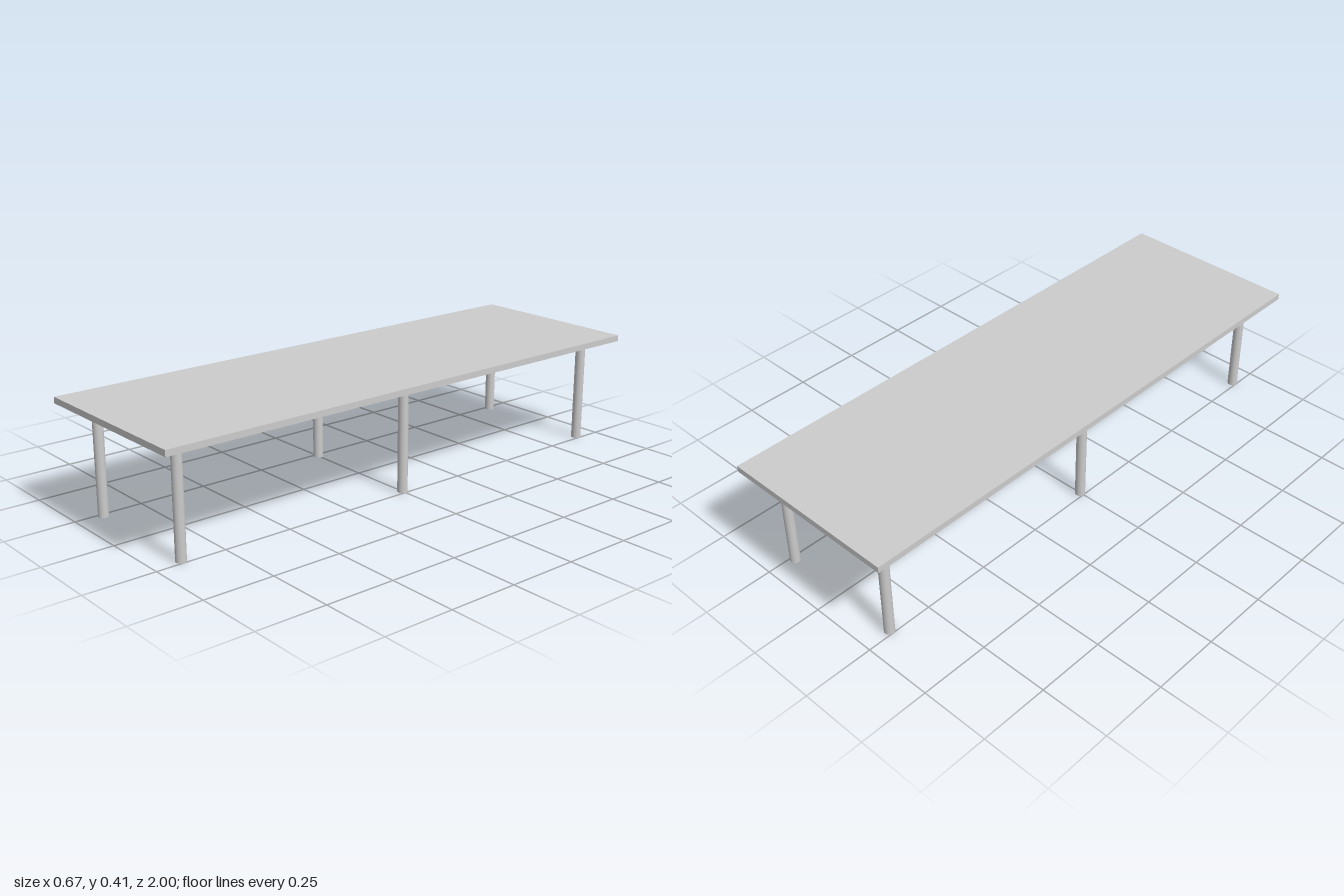
import * as THREE from 'three';

export function createModel() {
  const table = new THREE.Group();
  table.name = 'table';
  const material = new THREE.MeshStandardMaterial({ color: 0xcccccc });

  const addPart = (name, geometry, x, y, z) => {
    const mesh = new THREE.Mesh(geometry, material);
    mesh.name = name;
    mesh.position.set(x, y, z);
    table.add(mesh);
  };

  const legHeight = 0.37;
  const baseThickness = 0.016;
  const topThickness = 0.022;

  // Table top and the smaller support panel beneath it
  addPart('supportPanel', new THREE.BoxGeometry(0.516, baseThickness, 1.844),
    0, legHeight + baseThickness / 2, 0);
  addPart('tableTop', new THREE.BoxGeometry(0.665, topThickness, 2),
    0, legHeight + baseThickness + topThickness / 2, 0);

  // Three pairs of round legs
  const legGeometry = new THREE.CylinderGeometry(0.018, 0.018, legHeight, 32);
  for (const [row, z] of [['front', 0.903], ['middle', 0], ['back', -0.903]]) {
    for (const [side, x] of [['Left', 0.234], ['Right', -0.234]]) {
      addPart(`${row}${side}Leg`, legGeometry, x, legHeight / 2, z);
    }
  }

  return table;
}
